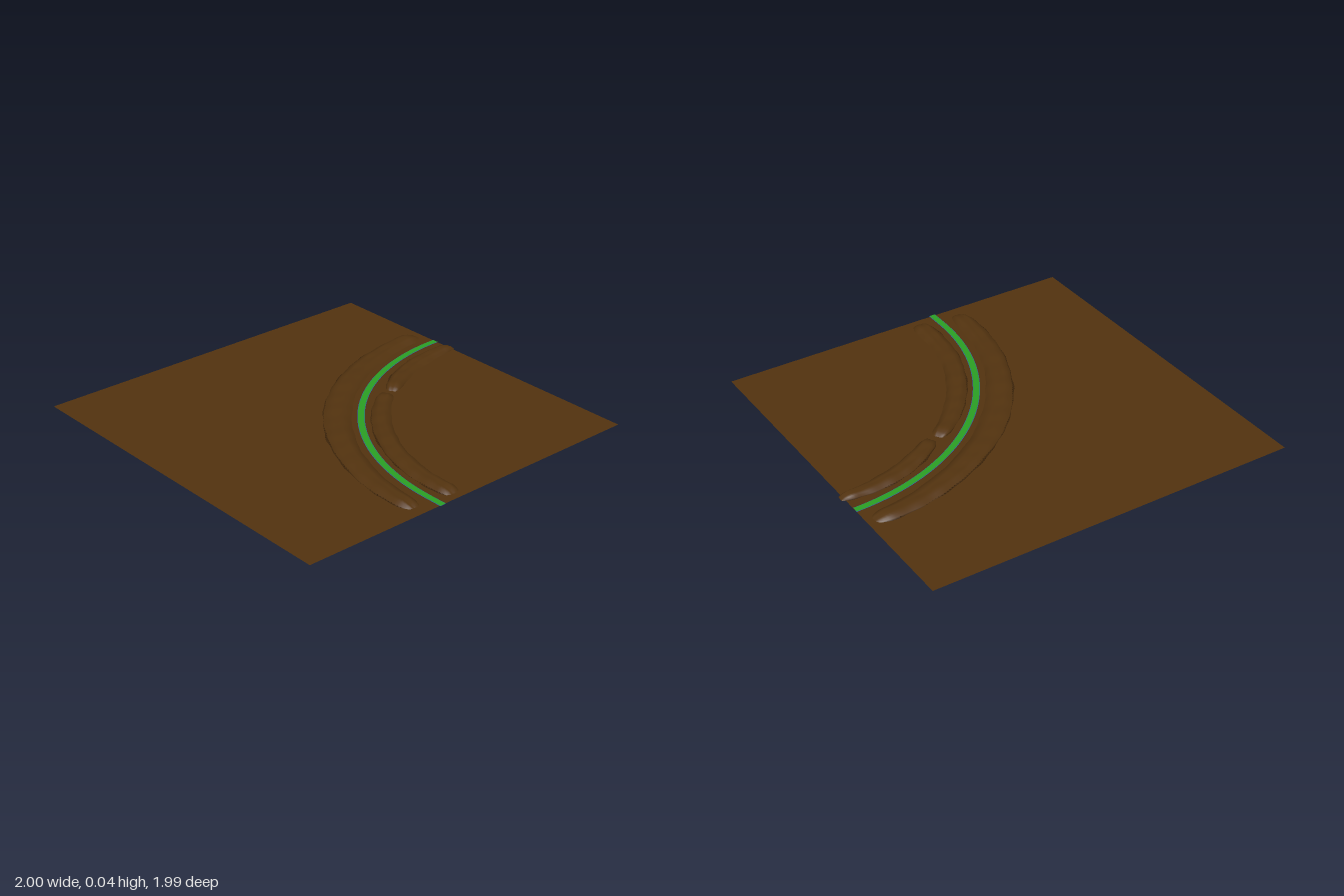
import * as THREE from 'three';

const CX = 0.985, CZ = 0.89, R = 1.2, STRAIGHT = 0.1, GROUND = 0.014;
const LENGTH = STRAIGHT + R * Math.PI / 2;

const earth = new THREE.MeshStandardMaterial({ color: 0x53330f, side: THREE.DoubleSide });
const green = new THREE.MeshStandardMaterial({ color: 0x2ba024, side: THREE.DoubleSide });
const blue = new THREE.MeshStandardMaterial({ color: 0x2a5fa8, side: THREE.DoubleSide });

// Point at distance s along the bend (short straight, then quarter circle) and radius r
function place(s, r, y) {
  const a = Math.max(0, s - STRAIGHT) / R;
  return [CX - r * Math.cos(a), y, CZ + Math.max(0, STRAIGHT - s) - r * Math.sin(a)];
}

// Sweeps a profile (list of [radius, height]) along the bend
function sweep(name, material, s0, s1, steps, profile) {
  const pos = [], index = [];
  let cols = 0;
  for (let i = 0; i <= steps; i++) {
    const t = i / steps, s = s0 + (s1 - s0) * t;
    const ring = profile(s, t);
    cols = ring.length;
    for (const [r, y] of ring) pos.push(...place(s, r, y));
  }
  for (let i = 0; i < steps; i++) {
    for (let j = 0; j < cols - 1; j++) {
      const a = i * cols + j, b = a + cols;
      index.push(a, b, a + 1, b, b + 1, a + 1);
    }
  }
  const geo = new THREE.BufferGeometry();
  geo.setAttribute('position', new THREE.Float32BufferAttribute(pos, 3));
  geo.setIndex(index);
  geo.computeVertexNormals();
  const mesh = new THREE.Mesh(geo, material);
  mesh.name = name;
  return mesh;
}

// Smooth repeatable unevenness, about -1 to 1
const wobble = (s, k) =>
  0.5 * Math.sin(s * 9 + k * 2.1) + 0.3 * Math.sin(s * 23 + k * 4.7) + 0.2 * Math.sin(s * 51 + k * 1.3);

// Lumpy earth bank: sloped sides, slightly grooved crown, rounded-off ends.
// bounds(t) gives its inner and outer radius
function bank(name, s0, s1, bounds, seed) {
  const section = [[0, 0], [0.1, 0.4], [0.24, 0.88], [0.38, 1], [0.52, 0.85], [0.66, 0.98], [0.8, 0.8], [0.92, 0.35], [1, 0]];
  return sweep(name, earth, s0, s1, Math.round((s1 - s0) * 60), (s, t) => {
    const end = Math.min(s - s0, s1 - s);
    const rise = Math.sqrt(Math.min(1, end / 0.06));
    const squeeze = 0.55 + 0.45 * rise;
    const [inner, outer] = bounds(t);
    const mid = (inner + outer) / 2, half = (outer - inner) / 2 * squeeze;
    const base = 0.010 + 0.003 * wobble(s, seed + 9);
    const ring = section.map(([u, h], j) => {
      const edge = j === 0 || j === section.length - 1 ? 0.008 : 0.004;
      const r = mid + (u * 2 - 1) * half + edge * wobble(s, seed + j * 0.6);
      return [r, base + h * rise * (0.026 + 0.0025 * wobble(s, seed + j * 0.9)) ];
    });
    ring.push([mid, base - 0.003], ring[0]);
    return ring;
  });
}

export function createModel() {
  const group = new THREE.Group();
  group.name = 'trackBend';

  // Flat earth
  const ground = new THREE.Mesh(new THREE.PlaneGeometry(1.985, 1.985, 8, 8), earth);
  ground.name = 'ground';
  ground.rotation.x = -Math.PI / 2;
  ground.position.set(-0.0075, GROUND, -0.0075);
  group.add(ground);

  // Banks: one continuous outside the bend, two inside with a gap between
  const swell = (t) => Math.sin(Math.PI * t);
  group.add(bank('outerBank', 0.06, LENGTH - 0.03, t => [1.26 - 0.02 * swell(t), 1.36 + 0.035 * Math.sqrt(swell(t))], 1));
  group.add(bank('innerBankLong', 0.04, 1.26, t => [1.03 + 0.02 * t, 1.145 + 0.015 * swell(t)], 4));
  group.add(bank('innerBankShort', 1.29, LENGTH + 0.016, t => [1.035 + 0.015 * t, 1.125 + 0.03 * swell(t)], 7));

  // Narrow strip along the middle, with a thin water edge showing beside it
  const flat = (half, y) => () => [[R - half, y], [R + half, y]];
  group.add(sweep('waterStrip', blue, 0, LENGTH, 96, flat(0.0185, 0.0155)));
  group.add(sweep('greenStrip', green, 0, LENGTH, 96, flat(0.016, 0.0165)));
  return group;
}
